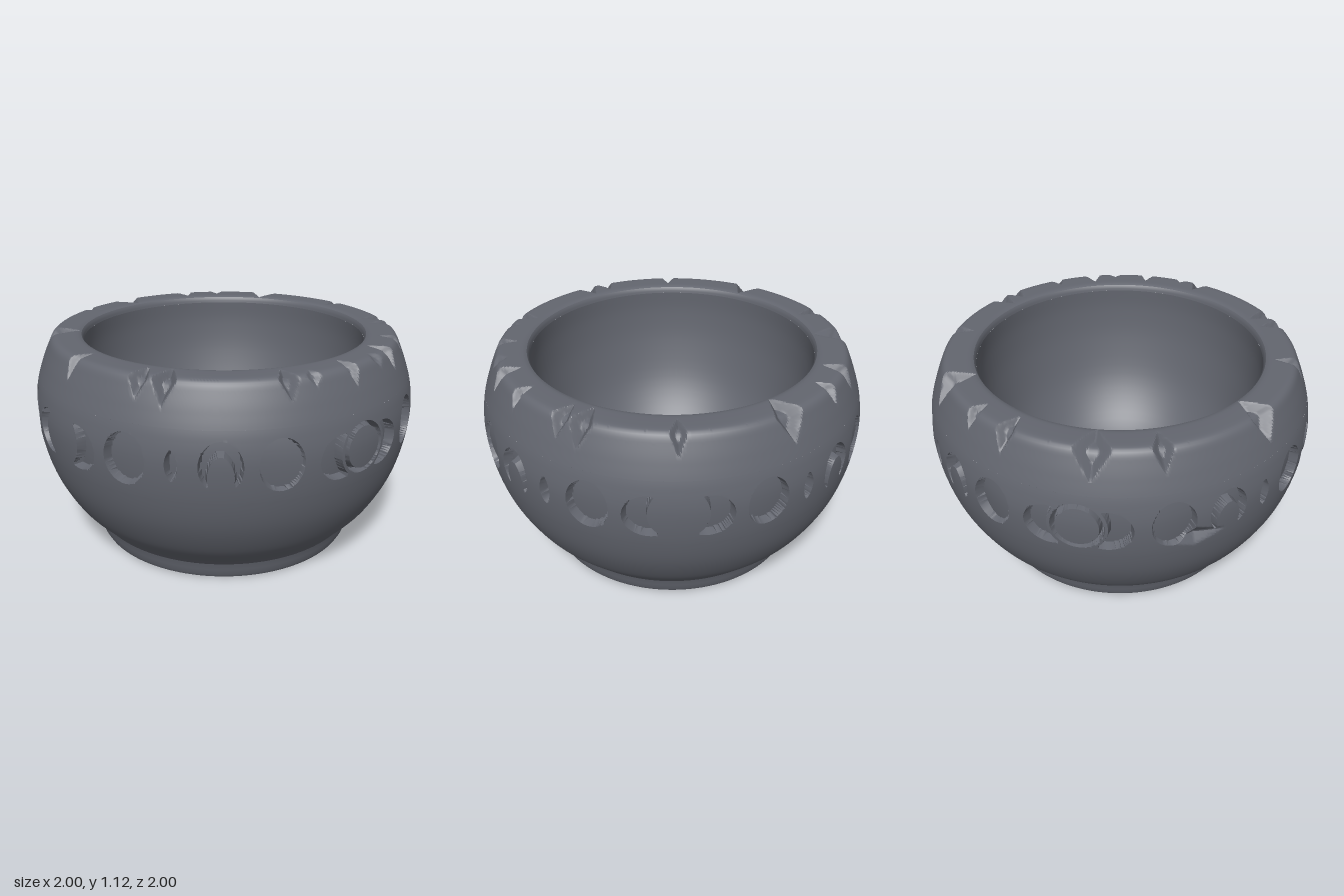
import * as THREE from 'three';
import { toCreasedNormals } from 'three/addons/utils/BufferGeometryUtils.js';

const RAD = Math.PI / 180, SEGS = 800, CELL = 0.0085;
const V = (x, y) => new THREE.Vector2(x, y);

// Outer silhouette of the belly, foot to rim
const belly = new THREE.SplineCurve([
  V(0.72, 0.1), V(0.755, 0.14), V(0.85, 0.25), V(0.935, 0.41), V(0.983, 0.58),
  V(1, 0.75), V(0.985, 0.88), V(0.95, 0.99), V(0.915, 1.075),
]).getPoints(240);

function radiusAt(y) {
  const i = Math.max(1, belly.findIndex((p) => p.y >= y));
  const a = belly[i - 1], b = belly[i];
  return a.x + (b.x - a.x) * (y - a.y) / (b.y - a.y);
}

function wall(y0, y1, rows) {
  return Array.from({ length: rows + 1 }, (_, i) => {
    const y = y0 + (y1 - y0) * i / rows;
    return V(radiusAt(y), y);
  });
}

// Signed distance helpers for the moon carvings (negative inside)
const oval = (u, v, a, b) => (Math.hypot(u / a, v / b) - 1) * Math.min(a, b);
const fold = (t) => Math.atan2(Math.abs(Math.sin(t)), Math.abs(Math.cos(t)));

const crescent = (u, v) => Math.max(oval(u - 0.135, v + 0.015, 0.12, 0.11), -oval(u, v, 0.14, 0.14));
const moons = [
  // triple moon with a ringed disc, front and back
  { at: 0, shape: (u, v) => Math.min(Math.abs(oval(u, v, 0.113, 0.113)) - 0.012, crescent(u, v)) },
  // gibbous moon, deeper on one side
  { at: 25, shape: (u, v) => oval(u, v, 0.105, 0.125), slant: 0.16 },
  // arched half moon
  { at: 40.5, shape: (u, v) => Math.max(oval(u, v, 0.1, 0.12), -oval(u, v + 0.05, 0.06, 0.1)) },
  // sliver
  { at: 53, shape: (u, v) => Math.max(oval(u - 0.09, v, 0.12, 0.12), oval(u + 0.09, v, 0.12, 0.12)) },
  // full moon
  { at: 66, shape: (u, v) => oval(u, v, 0.105, 0.125) },
  // triple moon with a flush disc, both sides
  { at: 90, shape: (u, v) => crescent(-u, v) },
];

function carving(t, y) {
  let d = 1, depth = 0;
  for (const m of moons) {
    const u = fold(t) - m.at * RAD;
    const md = m.shape(u, y - 0.755);
    if (md < d) {
      d = md;
      depth = m.slant ? 0.03 + m.slant * u : 0.045;
    }
  }
  return { d, depth };
}

// Snap vertices to the carving outlines, then sink the ones inside
function carveBand(geo) {
  const p = geo.attributes.position, e = 0.001;
  for (let i = 0; i < p.count; i++) {
    let t = Math.atan2(p.getX(i), p.getZ(i)), y = p.getY(i);
    if (y < 0.6 || y > 0.91) continue;
    const { d, depth } = carving(t, y);
    let sink = 0;
    if (Math.abs(d) < CELL * 0.55) {
      const gu = (carving(t + e, y).d - carving(t - e, y).d) / (2 * e);
      const gv = (carving(t, y + e).d - carving(t, y - e).d) / (2 * e);
      const g = Math.max(0.5, gu * gu + gv * gv);
      t -= THREE.MathUtils.clamp(d * gu / g, -CELL / 2, CELL / 2);
      y -= THREE.MathUtils.clamp(d * gv / g, -CELL / 2, CELL / 2);
    } else if (d < 0) sink = depth;
    // Broken patch below two of the moons at the back
    const dt = Math.abs(t + 149 * RAD);
    sink = Math.max(sink, 0.04 * (1 - dt / 0.16 - Math.abs(y - 0.66) / 0.06));
    const r = radiusAt(y) - sink;
    p.setXYZ(i, r * Math.sin(t), y, r * Math.cos(t));
  }
}

// Rim chips: x, z, width, length, depth
const chips = [
  [0, 0.88, 0.04, 0.09, 0.04], [0.33, 0.83, 0.05, 0.1, 0.05], [-0.33, 0.83, 0.05, 0.1, 0.05],
  [0.2, 0.88, 0.05, 0.05, 0.02], [-0.22, 0.88, 0.04, 0.05, 0.02], [0.53, 0.72, 0.04, 0.08, 0.04],
  [0.76, 0.4, 0.06, 0.12, 0.06], [0.74, 0.51, 0.05, 0.1, 0.05], [-0.78, 0.38, 0.05, 0.1, 0.05],
  [-0.75, 0.5, 0.06, 0.12, 0.06], [0.9, 0, 0.04, 0.1, 0.04], [-0.9, 0, 0.04, 0.1, 0.04],
  [0.73, -0.48, 0.08, 0.14, 0.07], [0.35, -0.82, 0.05, 0.11, 0.05], [0.54, -0.73, 0.04, 0.08, 0.04],
  [-0.05, -0.87, 0.09, 0.14, 0.06], [-0.35, -0.83, 0.05, 0.11, 0.05], [-0.75, -0.49, 0.08, 0.14, 0.07],
];

function chipRim(geo) {
  const p = geo.attributes.position;
  for (let i = 0; i < p.count; i++) {
    const x = p.getX(i), y = p.getY(i), z = p.getZ(i);
    const r = Math.hypot(x, z), t = Math.atan2(x, z);
    const s = Math.hypot(r - 0.89, y - 1.105);
    let cut = 0;
    for (const [cx, cz, w, len, depth] of chips) {
      const dt = t - Math.atan2(cx, cz);
      const du = Math.abs(Math.atan2(Math.sin(dt), Math.cos(dt))) * r;
      cut = Math.max(cut, depth * Math.min(0.8, 1.3 * (1 - du / w - s / len)));
    }
    const k = (r - cut * 0.7) / r;
    p.setXYZ(i, x * k, y - cut * 0.7, z * k);
  }
}

export function createModel() {
  const group = new THREE.Group();
  const stone = new THREE.MeshStandardMaterial({ color: 0x63666f });
  stone.name = 'slate grey';

  function turned(name, points, segs, shape) {
    let geo = new THREE.LatheGeometry(points, segs);
    if (shape) shape(geo);
    if (shape || name === 'foot') geo = toCreasedNormals(geo, 0.55);
    const mesh = new THREE.Mesh(geo, stone);
    mesh.name = name;
    group.add(mesh);
  }

  // Foot with flat underside
  turned('foot', [V(0, 0.004), V(0.675, 0.004), V(0.693, 0.012), V(0.703, 0.03),
    V(0.708, 0.06), V(0.72, 0.1)], 160);

  // Belly, carved moon band and shoulder
  turned('belly', wall(0.1, 0.58, 22), 160);
  turned('moonBand', wall(0.58, 0.92, 40), SEGS, carveBand);
  turned('shoulder', wall(0.92, 0.98, 4), 160);

  // Chipped rim
  const lip = new THREE.SplineCurve([V(0.915, 1.075), V(0.902, 1.1), V(0.885, 1.115),
    V(0.86, 1.119), V(0.8, 1.119), V(0.76, 1.117), V(0.742, 1.107), V(0.735, 1.08)]);
  turned('rim', [...wall(0.98, 1.07, 7), ...lip.getSpacedPoints(20)], SEGS, chipRim);

  // Hollow inside
  const hollow = new THREE.SplineCurve([V(0.735, 1.08), V(0.735, 0.95), V(0.71, 0.76), V(0.64, 0.52),
    V(0.52, 0.33), V(0.38, 0.22), V(0.28, 0.185), V(0, 0.17)]);
  turned('hollow', hollow.getPoints(32), 160);

  return group;
}
